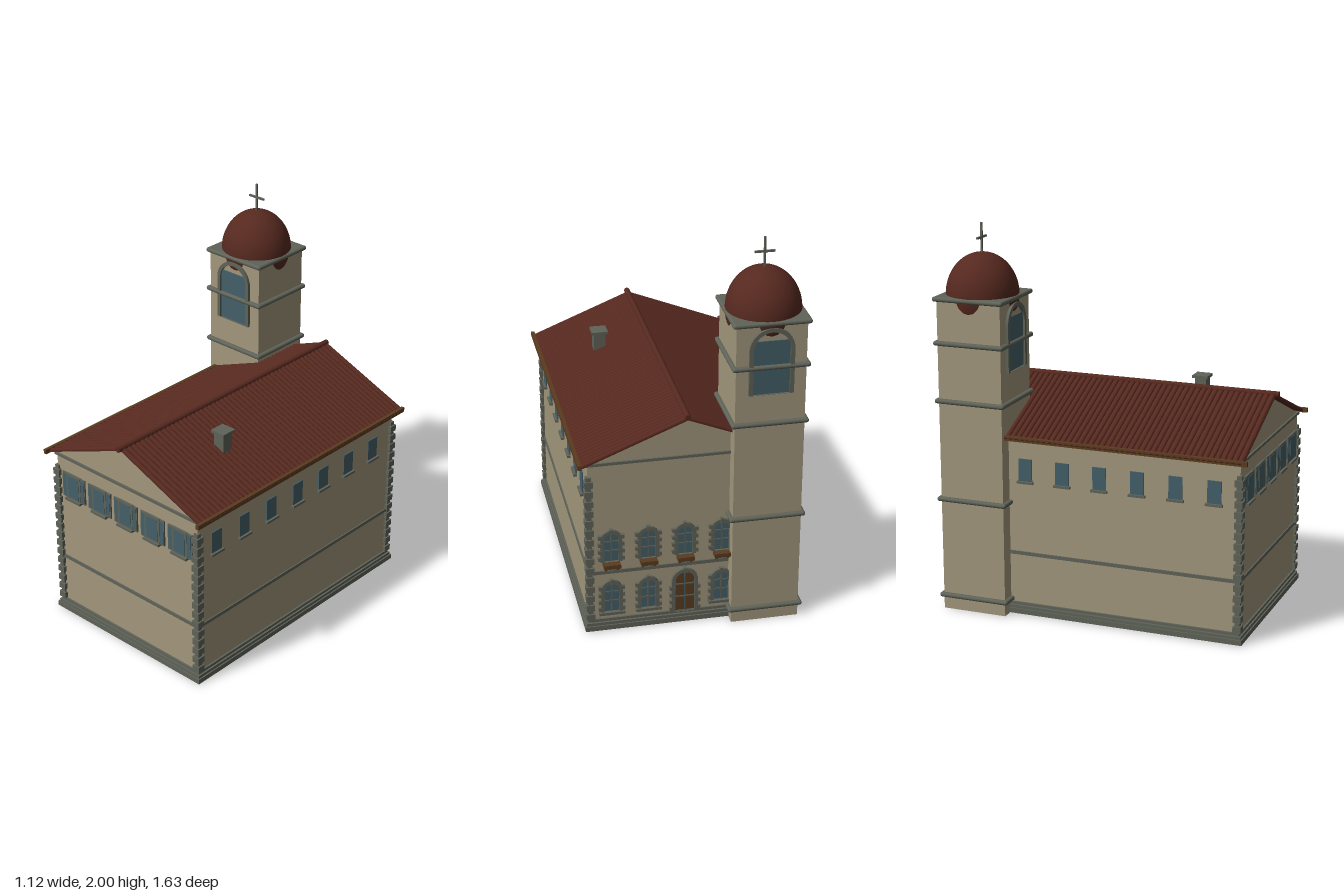
import * as THREE from 'three';
import { RoundedBoxGeometry } from 'three/addons/geometries/RoundedBoxGeometry.js';

const mat = (name, color) => {
  const m = new THREE.MeshStandardMaterial({ color });
  m.name = name;
  return m;
};

export function createModel() {
  const plaster = mat('plaster', 0xa3987d);
  const stone = mat('stone', 0x5f6358);
  const tile = mat('roofTile', 0x56291f);
  const glass = mat('glass', 0x446069);
  const wood = mat('wood', 0x5a3c20);

  const model = new THREE.Group();
  const add = (parent, name, geo, material, x = 0, y = 0, z = 0) => {
    const m = new THREE.Mesh(geo, material);
    m.name = name;
    m.position.set(x, y, z);
    parent.add(m);
    return m;
  };
  const box = (parent, name, w, h, d, material, x, y, z) =>
    add(parent, name, new THREE.BoxGeometry(w, h, d), material, x, y, z);
  const group = (name, x = 0, y = 0, z = 0, ry = 0) => {
    const g = new THREE.Group();
    g.name = name;
    g.position.set(x, y, z);
    g.rotation.y = ry;
    model.add(g);
    return g;
  };
  const extrude = (shape, depth) =>
    new THREE.ExtrudeGeometry(shape, { depth, bevelEnabled: false, curveSegments: 12 });

  // Hall dimensions
  const CX = 0.02, CZ = 0.025, W = 0.97, D = 1.49, WALL = 0.94;
  const front = CZ + D / 2, back = CZ - D / 2;

  // Hall walls with gables, one pentagon extruded along z
  const hall = new THREE.Shape();
  hall.moveTo(-W / 2, 0.02);
  hall.lineTo(W / 2, 0.02);
  hall.lineTo(W / 2, WALL);
  hall.lineTo(0, 1.14);
  hall.lineTo(-W / 2, WALL);
  add(model, 'hallWalls', extrude(hall, D), plaster, CX, 0, back);

  // Stepped plinth, string course and cornice
  [[0.022, 0.026, 0.025], [0.042, 0.016, 0.018], [0.059, 0.014, 0.01]].forEach(([y, h, o]) =>
    box(model, 'plinthStep', W + 2 * o, h, D + 2 * o, stone, CX, y, CZ));
  box(model, 'stringCourse', W + 0.014, 0.018, D + 0.014, stone, CX, 0.332, CZ);
  box(model, 'cornice', W + 0.02, 0.014, D + 0.02, stone, CX, 0.937, CZ);

  // Corner quoins, large and small blocks in turn
  const quoins = group('quoins');
  for (const x of [CX - W / 2, CX + W / 2]) for (const z of [back, front]) {
    const qx = x - Math.sign(x) * 0.003, qz = z - Math.sign(z) * 0.003;
    for (let i = 0; i < 15; i++) {
      const y = 0.085 + i * 0.0535;
      box(quoins, 'quoinLarge', 0.042, 0.033, 0.042, stone, qx, y, qz);
      box(quoins, 'quoinSmall', 0.026, 0.021, 0.026, stone, qx, y + 0.027, qz);
    }
  }

  // Ribbed tile roof
  const RUN = 0.535, RISE = 0.215, RIDGE = 1.155, LEN = 1.55, RIBS = 52;
  const pitch = LEN / RIBS;
  const profile = new THREE.Shape();
  profile.moveTo(-LEN / 2, -0.008);
  profile.lineTo(LEN / 2, -0.008);
  profile.lineTo(LEN / 2, 0);
  for (let i = RIBS - 1; i >= 0; i--) {
    const c = -LEN / 2 + (i + 0.5) * pitch;
    profile.absellipse(c, 0, pitch * 0.45, 0.01, 0, Math.PI, false, 0);
    profile.lineTo(c - pitch / 2, 0);
  }
  const slope = Math.hypot(RUN, RISE);
  for (const s of [-1, 1]) {
    const geo = new THREE.ExtrudeGeometry(profile, { depth: slope, bevelEnabled: false, curveSegments: 5 });
    const down = new THREE.Vector3(s * RUN, -RISE, 0).normalize();
    const normal = new THREE.Vector3(s * RISE, RUN, 0).normalize();
    geo.applyMatrix4(new THREE.Matrix4().makeBasis(new THREE.Vector3(0, 0, -s), normal, down));
    add(model, 'roofSlope', geo, tile, CX, RIDGE, 0.018);
    box(model, 'eaveBoard', 0.018, 0.024, 1.575, wood, CX + s * (RUN - 0.008), 0.945, 0.028);
  }
  const ridge = new THREE.CylinderGeometry(0.015, 0.015, 1.57, 12);
  ridge.rotateX(Math.PI / 2);
  add(model, 'ridgeCap', ridge, tile, CX, 1.16, 0.027);

  // Chimney
  box(model, 'chimney', 0.062, 0.14, 0.062, stone, 0.262, 1.09, 0.325);
  box(model, 'chimneyCap', 0.084, 0.014, 0.084, stone, 0.262, 1.156, 0.325);

  // Front windows with open shutters
  const bays = [-0.345, -0.16, 0.025, 0.21, 0.395];
  for (const x of bays) {
    const g = group('shutteredWindow', x, 0.78, front);
    box(g, 'windowFrame', 0.1, 0.145, 0.014, stone, 0, 0, 0.004);
    box(g, 'windowPane', 0.074, 0.122, 0.006, glass, 0, 0, 0.01);
    box(g, 'windowSill', 0.106, 0.012, 0.026, stone, 0, -0.074, 0.01);
    for (const s of [-1, 1]) {
      box(g, 'shutterFrame', 0.034, 0.142, 0.01, stone, s * 0.063, 0, 0.003);
      box(g, 'shutter', 0.024, 0.126, 0.006, glass, s * 0.063, 0, 0.007);
    }
  }

  // Side windows
  for (const s of [-1, 1]) for (let i = 0; i < 7; i++) {
    const g = group('sideWindow', CX + s * W / 2, 0.775, 0.64 - i * 0.2, s * Math.PI / 2);
    box(g, 'windowPane', 0.072, 0.116, 0.008, glass, 0, 0, 0.002);
    box(g, 'windowSill', 0.088, 0.012, 0.024, stone, 0, -0.064, 0.006);
  }

  // Round-headed outline standing on y = 0, h counts to the crown
  const arch = (C, r, h, y0 = 0) => {
    const p = new C();
    p.moveTo(-r, y0);
    p.lineTo(r, y0);
    p.lineTo(r, h - r);
    p.absarc(0, h - r, r, 0, Math.PI, false);
    p.lineTo(-r, y0);
    return p;
  };
  const archFrame = (r, h, t, depth) => {
    const shape = arch(THREE.Shape, r, h);
    shape.holes.push(arch(THREE.Path, r - t, h - t, 0.001));
    return extrude(shape, depth);
  };

  // Arched opening for the back wall
  const archedOpening = (name, x, y, r, h, fill) => {
    const g = group(name, x, y, back, Math.PI);
    const t = 0.018;
    add(g, 'archSurround', archFrame(r, h, t, 0.016), stone);
    add(g, 'archFill', extrude(arch(THREE.Shape, r - t, h - t), 0.005), fill);
    box(g, 'mullion', 0.007, h - t, 0.004, fill === glass ? stone : glass, 0, (h - t) / 2, 0.007);
    for (const k of [0.35, 0.64])
      box(g, 'glazingBar', 2 * (r - t), 0.006, 0.004, stone, 0, h * k, 0.007);
    for (const s of [-1, 1]) for (let i = 0; i < 4; i++)
      box(g, 'surroundBlock', 0.024, 0.02, 0.018, stone, s * r, 0.018 + i * 0.04, 0.008);
    box(g, 'keystone', 0.018, 0.028, 0.022, stone, 0, h - 0.006, 0.01);
    return g;
  };
  for (const x of bays.slice(1)) {
    const upper = archedOpening('upperArchedWindow', x, 0.395, 0.054, 0.175, glass);
    box(upper, 'flowerBox', 0.084, 0.022, 0.048, wood, 0, -0.013, 0.024);
    for (const s of [-1, 1])
      box(upper, 'boxBracket', 0.012, 0.022, 0.026, wood, s * 0.028, -0.033, 0.012);
    if (x === 0.025) {
      archedOpening('door', x, 0.062, 0.066, 0.245, wood);
      continue;
    }
    const lower = archedOpening('lowerArchedWindow', x, 0.105, 0.054, 0.18, glass);
    box(lower, 'windowSill', 0.13, 0.014, 0.026, stone, 0, -0.005, 0.012);
  }

  // Bell tower
  const TX = -0.37, TZ = -0.623, T = 0.344;
  const tower = group('bellTower', TX, 0, TZ);
  box(tower, 'towerShaft', T, 1.625, T, plaster, 0, 0.8175, 0);
  for (const y of [0.08, 0.598, 1.113, 1.41, 1.633])
    add(tower, 'towerBand', new RoundedBoxGeometry(0.382, 0.024, 0.382, 3, 0.0115), stone, 0, y, 0);

  // Belfry openings on the front and back of the tower
  for (const s of [1, -1]) {
    const g = group('belfryWindow', TX, 1.27, TZ + s * T / 2, s > 0 ? 0 : Math.PI);
    add(g, 'belfryArch', archFrame(0.11, 0.342, 0.02, 0.015), stone);
    box(g, 'belfryPane', 0.182, 0.275, 0.008, glass, 0, 0.1375, 0.001);
  }

  // Dome and cross
  const dome = add(tower, 'dome', new THREE.SphereGeometry(0.184, 40, 28), tile, 0, 1.64, 0);
  dome.scale.y = 0.212 / 0.184;
  box(tower, 'crossPost', 0.01, 0.16, 0.01, stone, 0, 1.92, 0);
  box(tower, 'crossBar', 0.1, 0.01, 0.01, stone, 0, 1.926, 0);

  return model;
}
